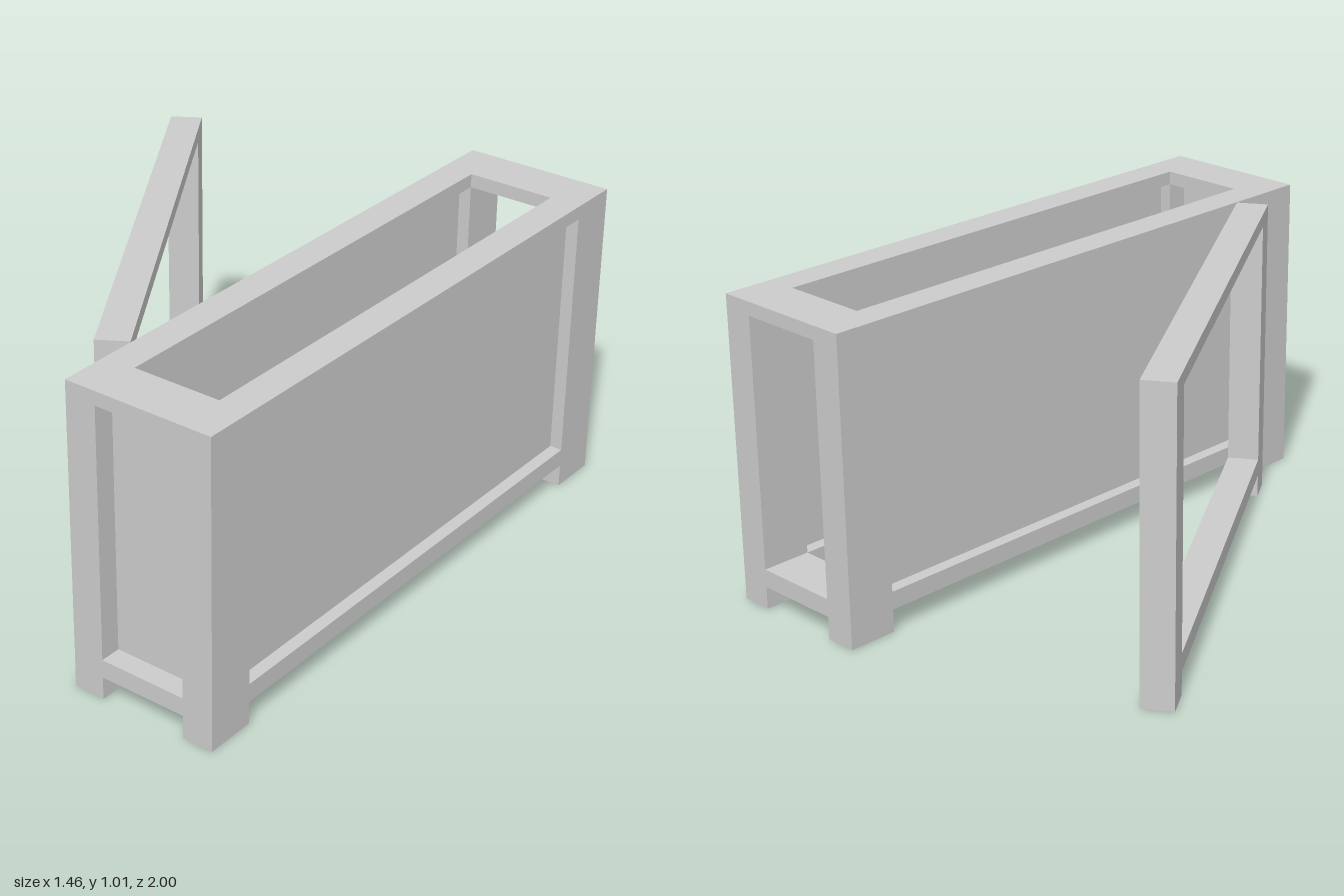
import * as THREE from 'three';

const H = 1.01;                     // overall height
const LOW = [0.075, 0.135];         // bottom rail, y range
const TOP = [0.965, H];             // top rail, y range

const material = new THREE.MeshStandardMaterial({ color: 0xcccccc, flatShading: true });

// Box given by its ranges along x, y and z
function box(parent, name, [x0, x1], [y0, y1], [z0, z1]) {
  const mesh = new THREE.Mesh(new THREE.BoxGeometry(x1 - x0, y1 - y0, z1 - z0), material);
  mesh.position.set((x0 + x1) / 2, (y0 + y1) / 2, (z0 + z1) / 2);
  mesh.name = name;
  parent.add(mesh);
}

// Range [a, b] mirrored to the side s = -1 or 1
const side = (s, a, b) => (s > 0 ? [a, b] : [-b, -a]);

// Four-post case: open top, bottom and back, panels on the sides and front
function createCase() {
  const group = new THREE.Group();
  group.name = 'case';
  const W = 0.2525, D = 1, px = 0.105, pz = 0.167;
  const ix = W - px, iz = D - pz;

  for (const sx of [-1, 1]) {
    for (const sz of [-1, 1]) box(group, 'post', side(sx, ix, W), [0, H], side(sz, iz, D));
    for (const y of [LOW, TOP]) box(group, 'sideRail', side(sx, ix, W), y, [-iz, iz]);
    box(group, 'sidePanel', side(sx, W - 0.063, W - 0.042), [LOW[1], TOP[0]], [-iz, iz]);
  }
  for (const sz of [-1, 1])
    for (const y of [LOW, TOP]) box(group, 'endRail', [-ix, ix], y, side(sz, iz, D));
  box(group, 'frontPanel', [-ix, ix], [LOW[1], TOP[0]], [D - 0.094, D - 0.07]);

  group.position.x = 0.4775;
  return group;
}

// Separate open frame standing at an angle beside the case
function createLooseFrame() {
  const group = new THREE.Group();
  group.name = 'looseFrame';
  const L = 0.8185, T = 0.052, post = 0.104;

  for (const s of [-1, 1]) box(group, 'framePost', [-T, T], [0, H], side(s, L - post, L));
  for (const y of [LOW, TOP]) box(group, 'frameRail', [-T, T], y, [post - L, L - post]);

  group.position.set(-0.255, 0, 0.055);
  group.rotation.y = 0.557;
  return group;
}

export function createModel() {
  const model = new THREE.Group();
  model.name = 'cabinetWithFrame';
  model.add(createCase(), createLooseFrame());
  return model;
}
